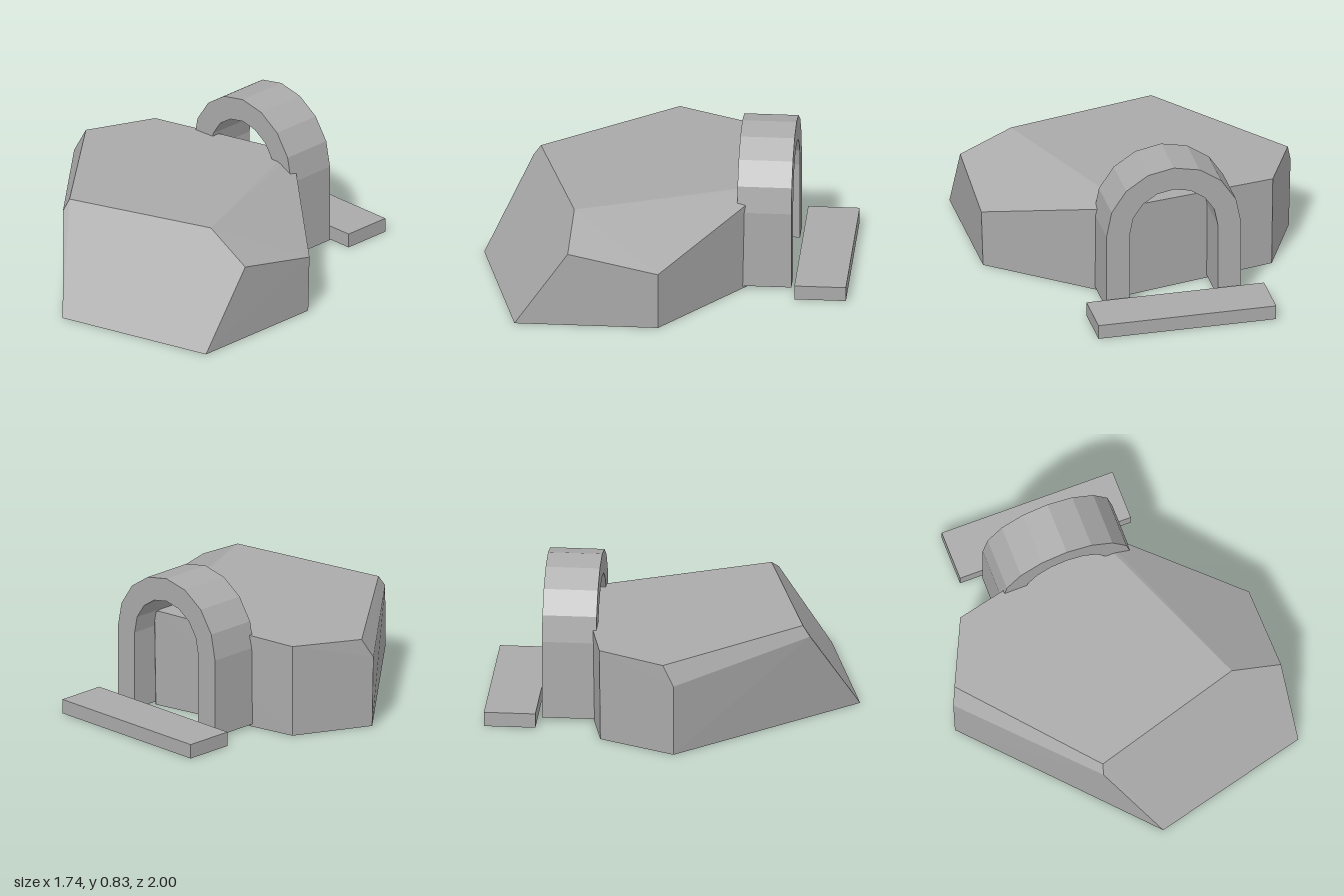
import * as THREE from 'three';
import { ConvexGeometry } from 'three/addons/geometries/ConvexGeometry.js';

export function createModel() {
  const model = new THREE.Group();
  const stone = new THREE.MeshStandardMaterial({ color: 0xaaaaaa });
  stone.name = 'grey stone';

  const add = (name, geometry, x = 0, y = 0, z = 0) => {
    const mesh = new THREE.Mesh(geometry, stone);
    mesh.name = name;
    mesh.position.set(x, y, z);
    model.add(mesh);
  };

  // Faceted boulder: the hull of its corners
  const corners = [
    // foot
    [-0.01, 0, 1], [0.86, 0, 0.77], [0.86, 0, -0.01],
    [0.2, 0, -0.54], [-0.665, 0, -0.355], [-0.86, 0, 0.06],
    // shoulders
    [-0.26, 0.475, 0.75], [0.87, 0.43, 0.48], [0.87, 0.325, -0.01],
    [-0.87, 0.4, 0.06], [0.2, 0.537, -0.55],
    // top
    [-0.25, 0.535, 0.71], [0.59, 0.565, 0.465], [0.175, 0.547, -0.545],
    [-0.67, 0.517, -0.36], [-0.84, 0.51, 0],
  ];
  add('boulder', new ConvexGeometry(corners.map((c) => new THREE.Vector3(...c))));

  // Arched doorway: straight legs under an eight-sided half ring
  const springY = 0.455, baseY = 0.015, outer = 0.375, inner = 0.245, steps = 8;
  const arc = (r) => Array.from({ length: steps + 1 }, (_, i) => {
    const a = (Math.PI * i) / steps;
    return new THREE.Vector2(r * Math.cos(a), springY + r * Math.sin(a));
  });
  const outline = [
    new THREE.Vector2(outer, baseY), ...arc(outer), new THREE.Vector2(-outer, baseY),
    new THREE.Vector2(-inner, baseY), ...arc(inner).reverse(), new THREE.Vector2(inner, baseY),
  ];
  add('doorArch', new THREE.ExtrudeGeometry(new THREE.Shape(outline), { depth: 0.295, bevelEnabled: false }),
    -0.038, 0, -0.695);

  // Doorstep slab
  add('doorstep', new THREE.BoxGeometry(0.99, 0.08, 0.28), -0.04, 0.042, -0.86);

  return model;
}
